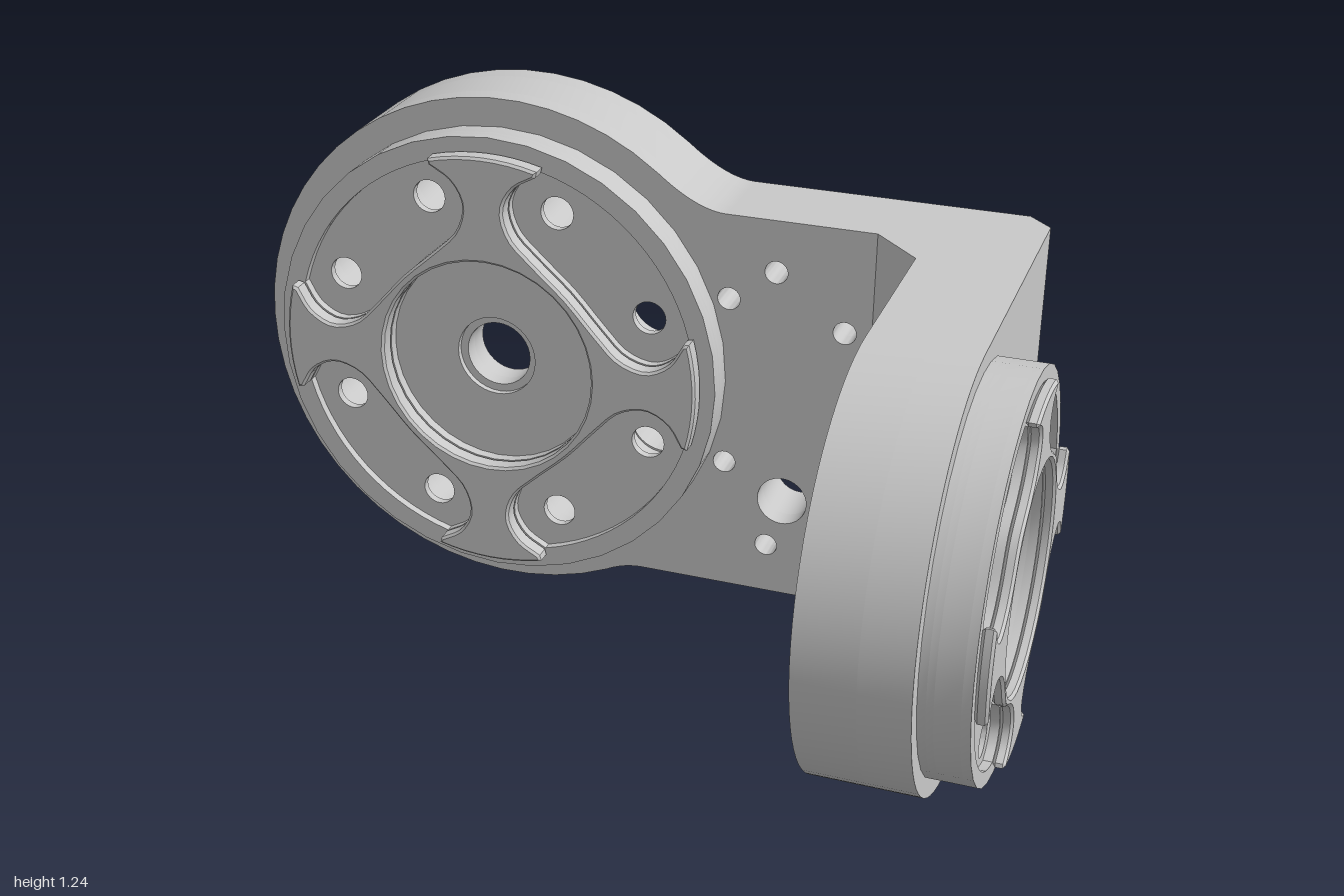
import * as THREE from 'three';
import { toCreasedNormals } from 'three/addons/utils/BufferGeometryUtils.js';

const castMetal = new THREE.MeshStandardMaterial({ color: 0xc8c8c8 });
castMetal.name = 'cast metal grey';
const PI = Math.PI;
const CX = -0.3775, CY = 0.63; // centre of the rear disc

// Slab cut from a shape with holes, between two heights along z
function slab(parent, name, shape, holes, z0, z1, bevel = 0) {
  shape.holes = holes;
  let g = new THREE.ExtrudeGeometry(shape, {
    depth: z1 - z0 - 2 * bevel, curveSegments: 18, bevelEnabled: bevel > 0,
    bevelThickness: bevel, bevelSize: bevel, bevelOffset: -bevel, bevelSegments: 1,
  });
  g.translate(0, 0, z0 + bevel);
  g = toCreasedNormals(g, 0.5);
  const m = new THREE.Mesh(g, castMetal);
  m.name = name;
  parent.add(m);
  return m;
}

function circle(x, y, r) {
  const s = new THREE.Shape();
  s.absarc(x, y, r, 0, 2 * PI, false);
  return s;
}

function polygon(points) {
  return new THREE.Shape(points.map(([x, y]) => new THREE.Vector2(x, y)));
}

// Eight bolt holes, in pairs either side of each diagonal
function boltHoles(cx, cy, ring, r, keep = () => true) {
  const list = [];
  for (let i = 0; i < 8; i++) {
    const a = PI / 8 + (i * PI) / 4;
    if (keep(i)) list.push(circle(cx + ring * Math.cos(a), cy + ring * Math.sin(a), r));
  }
  return list;
}
const clearOfChannel = (i) => i !== 0 && i !== 7;

// Smooth inner edge of one lobe pocket, turned into quadrant q
function lobeEdge(o, q) {
  const a = PI / 12;
  const half = [[o.lobeR * Math.cos(a), o.lobeR * Math.sin(a)], ...o.edge];
  const mirrored = half.slice(0, -1).reverse().map(([x, y]) => [y, x]);
  const pts = [...half, ...mirrored].map(([x, y]) =>
    new THREE.Vector2(x, y).rotateAround(new THREE.Vector2(), (q * PI) / 2));
  return new THREE.CatmullRomCurve3(pts.map((p) => new THREE.Vector3(p.x, p.y, 0)))
    .getPoints(32).map((p) => new THREE.Vector2(p.x, p.y));
}

function lobePocket(o, q) {
  const pts = lobeEdge(o, q);
  for (let i = 1; i < 14; i++) {
    const a = (q * PI) / 2 + PI / 12 + (PI / 3) * (1 - i / 14);
    pts.push(new THREE.Vector2(o.lobeR * Math.cos(a), o.lobeR * Math.sin(a)));
  }
  return new THREE.Shape(pts);
}

function crossShape(o) {
  const pts = [];
  for (let q = 0; q < 4; q++) {
    for (let i = 0; i <= 8; i++) {
      const a = (q * PI) / 2 + (PI / 12) * (i / 4 - 1);
      pts.push(new THREE.Vector2(o.crossR * Math.cos(a), o.crossR * Math.sin(a)));
    }
    pts.push(...lobeEdge(o, q));
  }
  return new THREE.Shape(pts);
}

// Round mounting flange: stepped disc, four lobe pockets, raised cross, recessed centre
function flange(name, o) {
  const g = new THREE.Group();
  g.name = name;
  const bolts = () => boltHoles(0, 0, o.ring, o.bolt);
  const disc = () => circle(0, 0, o.r);
  const recess = () => circle(0, 0, o.recess);
  const floor = o.h1 + o.h2 - o.depth;
  const lobeFloor = o.h1 - 0.02;
  slab(g, 'flangeBase', disc(), [...boltHoles(0, 0, o.ring, o.backBolt), circle(0, 0, o.bore)], 0, floor - 0.015);
  slab(g, 'boreStep', disc(), [...bolts(), circle(0, 0, o.bore + 0.019)], floor - 0.015, floor);
  slab(g, 'flangeBody', disc(), [...bolts(), recess()], floor, lobeFloor);
  slab(g, 'flangeRim', disc(), [recess(), ...[0, 1, 2, 3].map((q) => lobePocket(o, q))], lobeFloor, o.h1);
  slab(g, 'raisedCross', crossShape(o), [recess()], o.h1, o.h1 + o.h2, 0.006);
  return g;
}

// Outline of the rear plate, inset by i
function rearOutline(i) {
  const s = new THREE.Shape(), r = 0.6225 - i, t = (52 * PI) / 180, b = (295 * PI) / 180;
  s.absarc(CX, CY, r, t, b, false);
  s.quadraticCurveTo(-0.07, 0.09 + i, -0.02, 0.09 + i);
  const x = 0.8675 - 1.75 * i, c = i * 0.6;
  s.lineTo(x - c, 0.09 + i);
  if (c) s.quadraticCurveTo(x, 0.09 + i, x, 0.09 + i + c);
  s.lineTo(x, 1.045 - i - c);
  if (c) s.quadraticCurveTo(x, 1.045 - i, x - c, 1.045 - i);
  s.lineTo(0.17, 1.045 - i);
  s.quadraticCurveTo(0.1, 1.045 - i, CX + r * Math.cos(t), CY + r * Math.sin(t));
  return s;
}

// Deep cavity in the rear: round well, two bolt bores and a cable channel
function cavity() {
  const s = new THREE.Shape();
  s.absarc(CX, CY, 0.31, PI / 6, (11 * PI) / 6, false);
  s.lineTo(-0.071, 0.475);
  s.absarc(0.009, 0.475, 0.08, PI, 2 * PI, false);
  for (const [x, y] of [[0.5, 0.475], [0.52, 0.35], [0.76, 0.35], [0.76, 0.785],
    [0.52, 0.785], [0.5, 0.75], [0.11, 0.75], [0.089, 0.785]]) s.lineTo(x, y);
  s.absarc(0.009, 0.785, 0.08, 0, PI, false);
  return s;
}

function smallHoles() {
  const list = [circle(0.325, 0.34, 0.06)];
  for (const [x, y] of [[0.18, 0.84], [0.29, 0.92], [0.455, 0.795],
    [0.18, 0.42], [0.29, 0.215], [0.455, 0.38]]) list.push(circle(x, y, 0.027));
  return list;
}

// Outline of the side arm; the inner half has a well and a channel meeting the rear cavity
function armOutline(hollow) {
  const s = new THREE.Shape();
  s.absarc(0, 0, 0.4775, PI / 2, 1.5 * PI, false);
  s.lineTo(0.5475, -0.4775);
  if (hollow) {
    const a = Math.asin(0.131 / 0.25);
    for (const [u, v] of [[0.5475, -0.2175], [0.41, -0.2175], [0.4, -0.131]]) s.lineTo(u, v);
    s.absarc(0.316, -0.131, 0.068, 0, -PI, true);
    s.absarc(0, 0, 0.25, -a, a - 2 * PI, true);
    s.absarc(0.316, 0.131, 0.068, PI, 0, true);
    for (const [u, v] of [[0.4, 0.131], [0.41, 0.2175], [0.5475, 0.2175]]) s.lineTo(u, v);
  }
  s.lineTo(0.5475, 0.4775);
  return s;
}

export function createModel() {
  const model = new THREE.Group();
  model.name = 'angleBracket';

  // Rear plate, hollowed from behind
  const rear = new THREE.Group();
  rear.name = 'rearPlate';
  const lip = slab(rear, 'rearLip', rearOutline(0), [rearOutline(0.06)], -0.625, -0.57);
  const p = lip.geometry.attributes.position;
  for (let i = 0; i < p.count; i++) {
    if (p.getX(i) > 0.8 && p.getZ(i) < -0.6) p.setX(i, 0.8125); // chamfered back corner
  }
  lip.geometry = toCreasedNormals(lip.geometry, 0.5);
  slab(rear, 'rearFloor', rearOutline(0), [
    cavity(), ...smallHoles(), ...boltHoles(CX, CY, 0.418, 0.08, clearOfChannel),
    circle(0.65, 0.92, 0.025), circle(0.65, 0.21, 0.025),
  ], -0.57, -0.45);
  slab(rear, 'rearFace', rearOutline(0), [
    ...smallHoles(), ...boltHoles(CX, CY, 0.418, 0.08), circle(CX, CY, 0.08),
    polygon([[0.52, 0.37], [0.54, 0.35], [0.76, 0.35], [0.76, 0.785], [0.54, 0.785], [0.52, 0.765]]),
  ], -0.45, -0.4);
  model.add(rear);

  // Sloped gussets in the inner corner, above and below the window
  for (const [y0, y1] of [[0.09, 0.35], [0.785, 1.045]]) {
    const gusset = new THREE.Group();
    gusset.name = 'cornerGusset';
    slab(gusset, 'gussetBlock', polygon([[0.5175, 0.4], [0.6275, 0.4], [0.6275, 0.29]]), [], y0, y1);
    gusset.rotation.x = -PI / 2;
    model.add(gusset);
  }

  const rearFlange = flange('rearFlange', {
    r: 0.555, crossR: 0.52, lobeR: 0.505, recess: 0.265, depth: 0.07, bore: 0.08,
    ring: 0.418, bolt: 0.04, backBolt: 0.08, h1: 0.08, h2: 0.045,
    edge: [[0.455, 0.078], [0.4, 0.05], [0.335, 0.067], [0.28, 0.12], [0.204, 0.204]],
  });
  rearFlange.position.set(CX, CY, -0.4);
  model.add(rearFlange);

  // Side arm with rounded end, its flange facing +x
  const side = new THREE.Group();
  side.name = 'sideArm';
  slab(side, 'armInner', armOutline(true), boltHoles(0, 0, 0.342, 0.068, clearOfChannel), 0, 0.1325);
  slab(side, 'armOuter', armOutline(false), [...boltHoles(0, 0, 0.342, 0.042), circle(0, 0, 0.072)], 0.1325, 0.24);
  const sideFlange = flange('sideFlange', {
    r: 0.437, crossR: 0.412, lobeR: 0.402, recess: 0.245, depth: 0.1, bore: 0.072,
    ring: 0.342, bolt: 0.042, backBolt: 0.042, h1: 0.105, h2: 0.0275,
    edge: [[0.368, 0.068], [0.33, 0.052], [0.275, 0.075], [0.238, 0.115], [0.19, 0.19]],
  });
  sideFlange.position.z = 0.24;
  const key = new THREE.Mesh(new THREE.BoxGeometry(0.05, 0.09, 0.105), castMetal);
  key.name = 'locatingKey';
  key.position.set(0.448, 0, 0.0525);
  sideFlange.add(key);
  side.add(sideFlange);
  side.rotation.y = PI / 2;
  side.position.set(0.6275, 0.5675, 0.1475);
  model.add(side);

  model.position.y = -0.0075; // rests on the ground
  return model;
}
